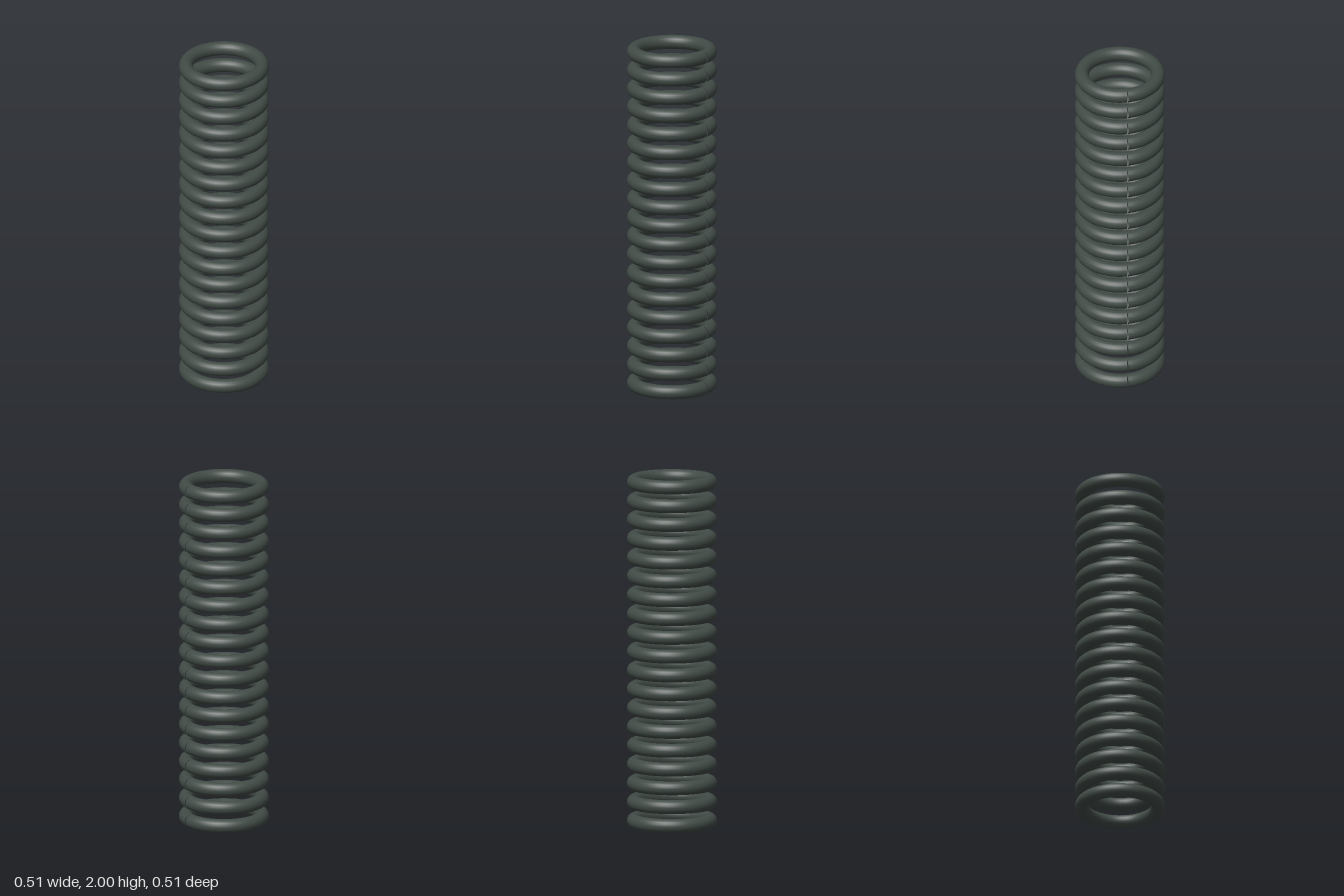
import * as THREE from 'three';

const RINGS = 19;
const WIRE = 0.0395;   // wire radius
const RADIUS = 0.2138; // ring centreline radius
const POINTS = 40;

export function createModel() {
  const model = new THREE.Group();
  model.name = 'coilStack';

  const darkMetal = new THREE.MeshStandardMaterial({ color: 0x414b46 });
  darkMetal.name = 'dark green-grey metal';

  // Open curve: its two ends meet at +x, leaving a hairline wedge on the outside
  const points = [];
  for (let i = 0; i <= POINTS; i++) {
    const a = (i / POINTS) * Math.PI * 2;
    points.push(new THREE.Vector3(Math.cos(a) * RADIUS, 0, Math.sin(a) * RADIUS));
  }
  const path = new THREE.CatmullRomCurve3(points);
  const ringGeometry = new THREE.TubeGeometry(path, 80, WIRE, 20, false);

  // Evenly stacked rings
  const pitch = (2 - 2 * WIRE) / (RINGS - 1);
  for (let i = 0; i < RINGS; i++) {
    const ring = new THREE.Mesh(ringGeometry, darkMetal);
    ring.name = `ring${i + 1}`;
    ring.position.y = WIRE + i * pitch;
    model.add(ring);
  }
  return model;
}
